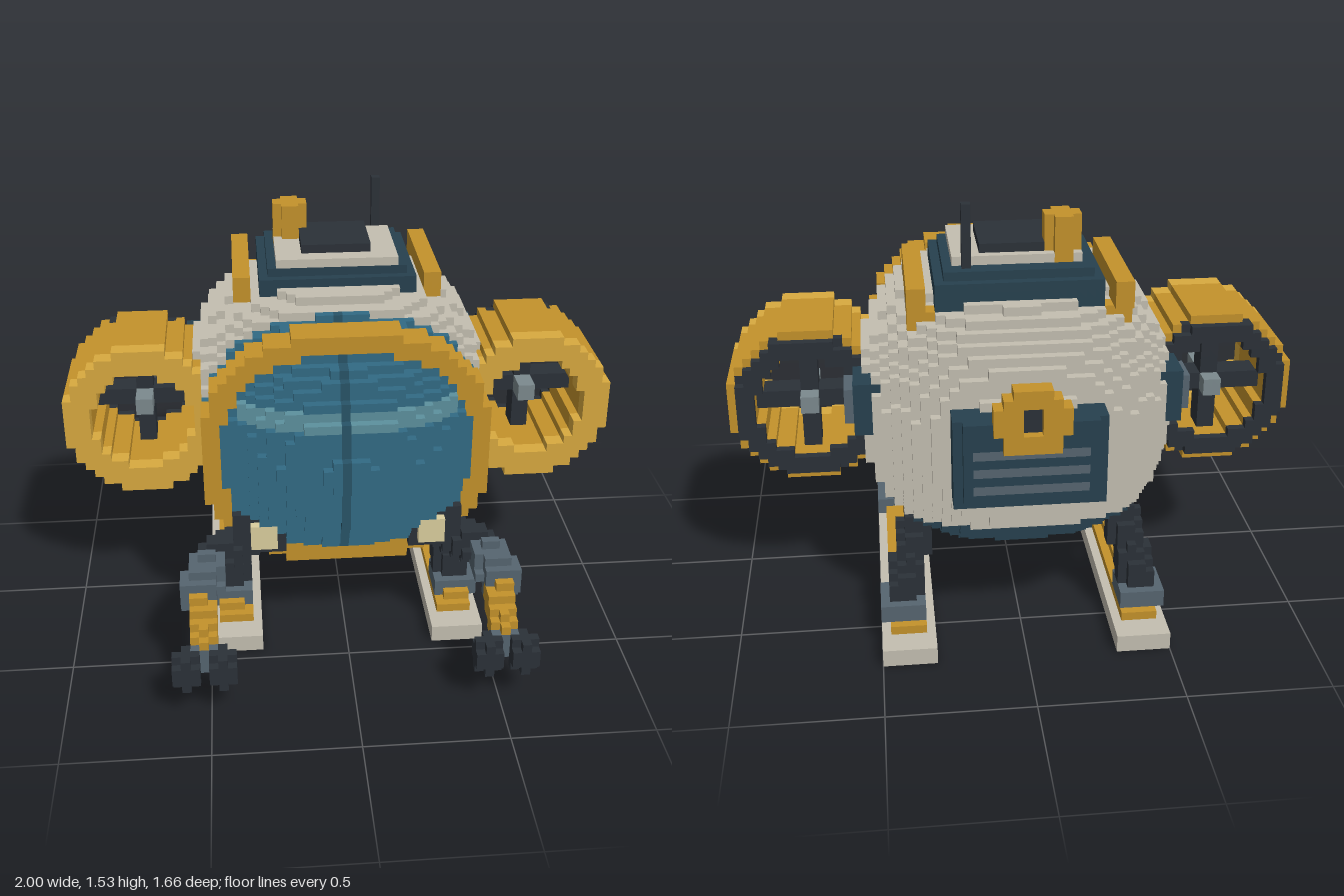
import * as THREE from 'three';

const V = 1 / 32; // edge of one cube
const C = {
  cream: 0xc4bfb1, yellow: 0xc4922b, gold: 0xd9aa40, teal: 0x27414f, glass: 0x326b85, shine: 0x5d919e,
  seam: 0x285468, dark: 0x2b3138, grey: 0x566570, lamp: 0xdccf9f, hub: 0x7c8a8e,
};

export function createModel() {
  const parts = [];
  const cells = new Map(); // cube key -> part index, later parts replace earlier ones
  const key = (i, j, k) => `${i},${j},${k}`;

  // Fill every cube whose centre lies in the bounds and passes the test
  function fill(name, color, [x0, x1, y0, y1, z0, z1], test = () => true) {
    const id = parts.push({ name, color, pos: [], idx: [] }) - 1;
    for (let i = Math.floor(x0 / V) - 1; i <= x1 / V + 1; i++)
      for (let j = Math.max(0, Math.floor(y0 / V) - 1); j <= y1 / V + 1; j++)
        for (let k = Math.floor(z0 / V) - 1; k <= z1 / V + 1; k++) {
          const x = (i + 0.5) * V, y = (j + 0.5) * V, z = k * V;
          if (x < x0 || x > x1 || y < y0 || y > y1 || z < z0 || z > z1) continue;
          if (test(x, y, z)) cells.set(key(i, j, k), id);
        }
  }
  // The same part on the left (+x) and right (-x)
  function pair(name, color, [x0, x1, ...rest], test = () => true) {
    fill(name + 'Left', color, [x0, x1, ...rest], test);
    fill(name + 'Right', color, [-x1, -x0, ...rest], (x, y, z) => test(-x, y, z));
  }
  // Mirrored round bar between two points
  function bar(name, color, a, b, r) {
    const A = new THREE.Vector3(...a), B = new THREE.Vector3(...b);
    const line = new THREE.Line3(A, B), p = new THREE.Vector3(), q = new THREE.Vector3();
    const range = [0, 1, 2].flatMap((n) => [Math.min(a[n], b[n]) - r, Math.max(a[n], b[n]) + r]);
    pair(name, color, range, (x, y, z) => line.closestPointToPoint(p.set(x, y, z), true, q).distanceTo(p) < r);
  }
  const blob = (c, r, e) => (x, y, z) =>
    Math.abs((x - c[0]) / r[0]) ** e + Math.abs((y - c[1]) / r[1]) ** e + Math.abs((z - c[2]) / r[2]) ** e < 1;

  // Hull and belly
  const hull = blob([0, 0.78, -0.15], [0.545, 0.485, 0.56], 2.6);
  fill('hull', C.cream, [-0.6, 0.6, 0.47, 1.3, -0.75, 0.17], hull);
  fill('belly', C.teal, [-0.6, 0.6, 0.25, 0.47, -0.75, 0.17], hull);

  // Cockpit dome with bright band, centre seam and rim
  const dome = blob([0, 0.78, 0.1], [0.5, 0.43, 0.465], 2.4);
  fill('cockpitGlass', C.glass, [-0.6, 0.6, 0.3, 1.3, 0.17, 0.6], dome);
  fill('glassHighlight', C.shine, [-0.39, 0.39, 0.94, 1.0, 0.4, 0.6], dome);
  fill('glassSeam', C.seam, [-0.032, 0, 0.3, 1.3, 0.17, 0.6], dome);
  fill('cockpitRim', C.yellow, [-0.51, 0.51, 0.3, 1.25, 0.27, 0.39], (x, y, z) =>
    Math.abs(x / 0.51) ** 2.3 + Math.abs((y - 0.78) / 0.445) ** 2.3 < 1 && !(z > 0.36 && dome(x, y, z)));

  // Roof hatch, periscope, antenna and side rails
  fill('hatchBase', C.teal, [-0.28, 0.28, 1.15, 1.282, -0.455, 0.01]);
  fill('hatchStep', C.teal, [-0.25, 0.25, 1.28, 1.313, -0.42, -0.02]);
  fill('hatchLid', C.cream, [-0.22, 0.22, 1.31, 1.345, -0.37, -0.02]);
  fill('hatchPanel', C.dark, [-0.125, 0.125, 1.344, 1.376, -0.33, -0.08]);
  fill('periscope', C.yellow, [-0.22, -0.094, 1.31, 1.47, -0.36, -0.23], (x, y, z) =>
    Math.hypot(x + 0.157, z + 0.297) < 0.063);
  fill('antenna', C.dark, [0.156, 0.188, 1.28, 1.532, -0.39, -0.36]);
  pair('roofRail', C.yellow, [0.312, 0.376, 1.18, 1.282, -0.485, -0.02]);
  for (const z of [-0.42, -0.08]) pair('railFoot', C.yellow, [0.28, 0.376, 1.1, 1.19, z - 0.03, z + 0.03]);

  // Ducted thrusters
  const PX = 0.72, PY = 0.785;
  const ring = (inner, outer) => (x, y) => {
    const d = Math.hypot(x - PX, y - PY);
    return d > inner && d < outer;
  };
  const duct = ring(0.185, 0.283), podX = [0.43, 1, 0.48, 1.08];
  pair('thrusterMount', C.teal, [0.42, 0.564, 0.75, 0.94, -0.455, -0.27]);
  pair('mountPanel', C.grey, [0.5, 0.596, 0.78, 0.91, -0.43, -0.28]);
  pair('thrusterDuct', C.yellow, [...podX, -0.265, 0.04], duct);
  pair('ductLip', C.gold, [...podX, 0.04, 0.11], duct);
  pair('ductRearRing', C.dark, [...podX, -0.3, -0.265], ring(0.185, 0.255));
  pair('ductBolt', C.dark, [...podX, -0.265, -0.24], (x, y) =>
    ring(0.25, 0.283)(x, y) && Math.cos(8 * Math.atan2(y - PY, x - PX)) < -0.8);
  pair('propeller', C.dark, [...podX, -0.2, -0.11], (x, y) =>
    ring(0, 0.2)(x, y) && Math.min(Math.abs(x - PX), Math.abs(y - PY)) < 0.034);
  pair('propellerHub', C.hub, [PX - 0.035, PX + 0.035, PY - 0.035, PY + 0.035, -0.27, -0.02]);

  // Rear engine box with vents and a valve wheel
  fill('engineBox', C.teal, [-0.25, 0.25, 0.625, 0.94, -0.768, -0.6]);
  fill('engineBack', C.teal, [-0.22, 0.22, 0.655, 0.94, -0.798, -0.76]);
  for (const y of [0.7, 0.765, 0.83])
    fill('vent', C.grey, [-0.19, 0.19, y - 0.016, y + 0.016, -0.798, -0.768]);
  fill('valveWheel', C.yellow, [-0.13, 0.13, 0.84, 1.07, -0.83, -0.768], (x, y) => {
    const d = Math.hypot(x, y - 0.953);
    return d > 0.04 && d < 0.122;
  });
  fill('valveStem', C.dark, [-0.04, 0.04, 0.92, 0.99, -0.798, -0.64]);

  // Landing skids with struts
  pair('skid', C.cream, [0.312, 0.5, 0, 0.063, -0.735, 0.455]);
  pair('skidRail', C.yellow, [0.344, 0.47, 0.062, 0.094, -0.64, 0.36]);
  pair('skidRailTop', C.yellow, [0.36, 0.47, 0.094, 0.126, -0.61, 0.33]);
  for (const [name, foot, top] of [['front', 0.22, 0.08], ['rear', -0.53, -0.4]]) {
    bar(name + 'Strut', C.dark, [0.42, 0.16, foot], [0.345, 0.46, top], 0.062);
    pair(name + 'Foot', C.grey, [0.33, 0.5, 0.094, 0.157, foot - 0.08, foot + 0.08]);
  }
  fill('crossBar', C.dark, [-0.36, 0.36, 0.187, 0.282, -0.05, 0.05], (x, y, z) =>
    Math.hypot(y - 0.235, z) < 0.058);

  // Headlamps
  pair('lampHousing', C.dark, [0.22, 0.41, 0.41, 0.565, 0.33, 0.43]);
  pair('lampLens', C.lamp, [0.25, 0.345, 0.44, 0.54, 0.4, 0.45]);

  // Manipulator arms with two-finger grippers
  bar('shoulder', C.dark, [0.37, 0.41, 0.36], [0.475, 0.4, 0.43], 0.064);
  bar('upperArm', C.grey, [0.5, 0.385, 0.5], [0.53, 0.35, 0.56], 0.072);
  bar('forearm', C.yellow, [0.52, 0.32, 0.61], [0.52, 0.24, 0.71], 0.052);
  pair('wrist', C.grey, [0.47, 0.564, 0.155, 0.25, 0.73, 0.775]);
  for (const x0 of [0.406, 0.532])
    pair('gripperFinger', C.dark, [x0, x0 + 0.094, 0.125, 0.25, 0.735, 0.83], (x, y, z) =>
      Math.hypot(x - x0 - 0.047, y - 0.187, z - 0.781) < 0.063);

  // Turn exposed cube faces into one mesh per part
  for (const [cell, id] of cells) {
    const c = cell.split(',').map(Number), { pos, idx } = parts[id];
    for (let a = 0; a < 3; a++) for (const s of [1, -1]) {
      const n = [...c];
      n[a] += s;
      if (cells.has(key(...n))) continue;
      const u = (a + 1) % 3, v = (a + 2) % 3, first = pos.length / 3;
      for (const [du, dv] of [[0, 0], [1, 0], [1, 1], [0, 1]]) {
        const p = [...c];
        p[a] += s > 0 ? 1 : 0;
        p[u] += du;
        p[v] += dv;
        pos.push(p[0] * V, p[1] * V, (p[2] - 0.5) * V);
      }
      idx.push(...(s > 0 ? [0, 1, 2, 0, 2, 3] : [0, 2, 1, 0, 3, 2]).map((o) => o + first));
    }
  }
  const group = new THREE.Group();
  group.name = 'submersible';
  for (const { name, color, pos, idx } of parts) {
    if (!pos.length) continue;
    const geo = new THREE.BufferGeometry();
    geo.setAttribute('position', new THREE.Float32BufferAttribute(pos, 3));
    geo.setIndex(idx);
    geo.computeVertexNormals();
    const mesh = new THREE.Mesh(geo, new THREE.MeshStandardMaterial({ color }));
    mesh.name = name;
    group.add(mesh);
  }
  return group;
}
